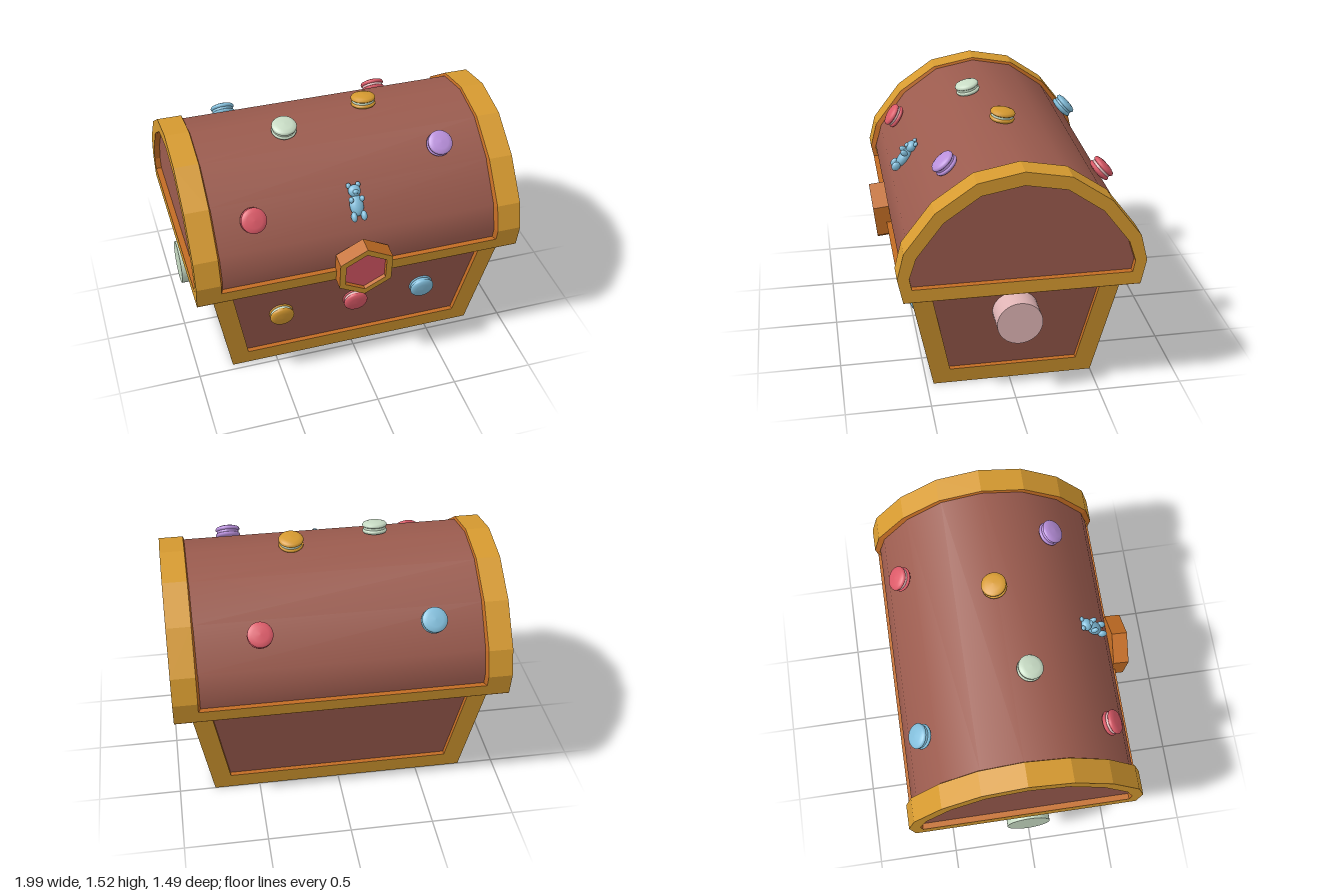
import * as THREE from 'three';

const mat = (name, color, open = false) => {
  const m = new THREE.MeshStandardMaterial({ color });
  m.name = name;
  if (open) m.side = THREE.DoubleSide;
  return m;
};
const V = (x, y, z) => new THREE.Vector3(x, y, z);

// Geometry from a list of triangles, flat shaded
function triMesh(name, tris, material) {
  const g = new THREE.BufferGeometry().setFromPoints(tris);
  g.computeVertexNormals();
  const m = new THREE.Mesh(g, material);
  m.name = name;
  return m;
}

// Band of quads between two closed loops
function band(name, a, b, material) {
  const tris = [];
  a.forEach((p, i) => {
    const j = (i + 1) % a.length;
    tris.push(p, a[j], b[j], p, b[j], b[i]);
  });
  return triMesh(name, tris, material);
}

// Convex polygon filled from its middle
function fill(name, loop, material) {
  const c = loop.reduce((s, p) => s.add(p), V(0, 0, 0)).divideScalar(loop.length);
  const tris = [];
  loop.forEach((p, i) => tris.push(c, p, loop[(i + 1) % loop.length]));
  return triMesh(name, tris, material);
}

export function createModel() {
  const gold = mat('gold', 0xd69a30, true);
  const orange = mat('orange trim', 0xc26c24, true);
  const brown = mat('chocolate', 0x9b5b4e, true);
  const red = mat('red', 0xdc5a68, true);
  const blue = mat('blue', 0x82bedb);
  const green = mat('pale green', 0xc8dcc5);
  const purple = mat('purple', 0xb990dc);
  const pink = mat('pink', 0xdfb4b5);

  const root = new THREE.Group();
  root.name = 'treasureChest';

  // Raised border, its inner walls and the recessed panel
  function frame(parent, name, outer, inner, inset, panelMat) {
    const deep = inner.map((p) => p.clone().add(inset));
    parent.add(band(name + 'Border', outer, inner, gold));
    parent.add(band(name + 'InnerEdge', inner, deep, orange));
    parent.add(fill(name + 'Panel', deep, panelMat));
  }

  // Tapered base
  const base = new THREE.Group();
  base.name = 'base';
  root.add(base);
  const H = 0.71, CZ = -0.02;
  const halfX = (y) => 0.78 + 0.12 * (y / H);
  const halfZ = (y) => 0.48 + 0.135 * (y / H);
  const corners = [[-1, 0], [1, 0], [1, 1], [-1, 1]];
  for (const s of [1, -1]) {
    const front = (y0, margin) => corners.map(([a, t]) => {
      const y = t ? H : y0;
      return V(a * (halfX(y) - margin), y, CZ + s * halfZ(y));
    });
    const side = (y0, margin) => corners.map(([a, t]) => {
      const y = t ? H : y0;
      return V(s * halfX(y), y, CZ + a * (halfZ(y) - margin));
    });
    frame(base, s > 0 ? 'front' : 'back', front(0, 0), front(0.105, 0.118), V(0, 0, -0.03 * s), brown);
    frame(base, s > 0 ? 'left' : 'right', side(0, 0), side(0.105, 0.118), V(-0.03 * s, 0, 0), brown);
  }
  base.add(fill('baseBottom', [[-1, -1], [1, -1], [1, 1], [-1, 1]].map(
    ([a, b]) => V(a * halfX(0), 0, CZ + b * halfZ(0))), gold));

  // Round side handles
  for (const s of [1, -1]) {
    const h = new THREE.Mesh(new THREE.CylinderGeometry(0.133, 0.133, 0.2, 40), s > 0 ? pink : green);
    h.name = s > 0 ? 'leftHandle' : 'rightHandle';
    h.rotation.z = Math.PI / 2;
    h.position.set(s * 0.897, 0.51, CZ);
    root.add(h);
  }

  // Lid profiles: half-width and height about z = LZ
  const lid = new THREE.Group();
  lid.name = 'lid';
  root.add(lid);
  const LZ = -0.037;
  const arch = (half) => [
    ...half.map(([z, y]) => [LZ + z, y]),
    ...half.slice(0, -1).reverse().map(([z, y]) => [LZ - z, y]),
  ];
  const outerArch = arch([[0.678, 0.71], [0.708, 0.86], [0.667, 1.02], [0.492, 1.25], [0.262, 1.41], [0, 1.46]]);
  const innerArch = arch([[0.628, 0.79], [0.641, 0.86], [0.6, 0.985], [0.445, 1.19], [0.24, 1.335], [0, 1.38]]);
  const at = (profile, x) => profile.map(([z, y]) => V(x, y, z));

  // Arched end caps
  for (const s of [1, -1]) {
    const cap = new THREE.Group();
    cap.name = s > 0 ? 'leftLidEnd' : 'rightLidEnd';
    lid.add(cap);
    const outside = at(outerArch, s * 0.997), inside = at(outerArch, s * 0.852);
    const lip = inside.map((p, i) => p.clone().lerp(V(s * 0.822, innerArch[i][1], innerArch[i][0]), 0.45));
    cap.add(band('lidEndRim', inside, outside, gold));
    cap.add(band('lidEndInnerLip', inside, lip, orange));
    frame(cap, 'lidEnd', outside, at(innerArch, s * 0.997), V(-0.035 * s, 0, 0), brown);
  }

  // Smooth barrel top
  const barrelPts = outerArch.map(([z, y]) => [LZ + (z - LZ) * 0.952, 0.79 + (y - 0.79) * 0.977]);
  const verts = [], index = [];
  barrelPts.forEach(([z, y], i) => {
    verts.push(V(-0.86, y, z), V(0.86, y, z));
    const k = 2 * i;
    if (i) index.push(k - 2, k - 1, k + 1, k - 2, k + 1, k);
  });
  const barrelGeo = new THREE.BufferGeometry().setFromPoints(verts);
  barrelGeo.setIndex(index);
  barrelGeo.computeVertexNormals();
  const barrel = new THREE.Mesh(barrelGeo, brown);
  barrel.name = 'lidBarrel';
  lid.add(barrel);

  // Front and back rails with ledge, and underside of the lid
  for (const s of [1, -1]) {
    const low = LZ + s * 0.678, high = LZ + s * 0.694, w = 0.855;
    lid.add(fill('lidRail', [V(-w, H, low), V(w, H, low), V(w, 0.79, high), V(-w, 0.79, high)], gold));
    lid.add(fill('lidLedge', [V(-w, 0.79, high), V(w, 0.79, high),
      V(w, 0.79, high - s * 0.08), V(-w, 0.79, high - s * 0.08)], orange));
  }
  lid.add(fill('lidUnderside', [[-1, -1], [1, -1], [1, 1], [-1, 1]].map(
    ([a, b]) => V(a * 0.996, H - 0.002, LZ + b * 0.677)), orange));

  // Hexagonal clasp, leaning with the rail
  const clasp = new THREE.Group();
  clasp.name = 'clasp';
  const hex = (r, z) => Array.from({ length: 6 }, (_, i) => {
    const a = (i * Math.PI) / 3;
    return V(r * Math.sin(a), r * Math.cos(a), z);
  });
  clasp.add(band('claspSide', hex(0.185, -0.096), hex(0.185, 0), orange));
  clasp.add(fill('claspBack', hex(0.185, -0.096), orange));
  frame(clasp, 'clasp', hex(0.185, 0), hex(0.143, 0), V(0, 0, -0.025), red);
  clasp.position.set(0, 0.795, 0.725);
  clasp.rotation.x = 0.108;
  root.add(clasp);

  // Macarons: two domed shells around a filling
  const shellGeo = new THREE.LatheGeometry([
    [0, 0.006], [0.066, 0.006], [0.074, 0.012], [0.075, 0.02], [0.068, 0.03], [0.045, 0.038], [0, 0.041],
  ].map(([r, y]) => new THREE.Vector2(r, y)), 28);
  const fillingGeo = new THREE.CylinderGeometry(0.067, 0.067, 0.016, 28);
  function macaron(shellMat, fillMat, pos, normal) {
    const g = new THREE.Group();
    g.name = 'macaron';
    const top = new THREE.Mesh(shellGeo, shellMat);
    const bottom = new THREE.Mesh(shellGeo, shellMat);
    const filling = new THREE.Mesh(fillingGeo, fillMat);
    top.name = 'upperShell';
    bottom.name = 'lowerShell';
    filling.name = 'filling';
    bottom.rotation.x = Math.PI;
    g.add(top, bottom, filling);
    g.position.set(...pos);
    g.quaternion.setFromUnitVectors(V(0, 1, 0), V(...normal).normalize());
    root.add(g);
  }
  const baseNormal = [0, -0.19, 1];
  macaron(gold, green, [-0.47, 0.41, 0.523], baseNormal);
  macaron(red, pink, [0, 0.41, 0.523], baseNormal);
  macaron(blue, blue, [0.435, 0.41, 0.523], baseNormal);
  macaron(green, green, [-0.31, 1.458, 0.08], [0, 1, 0.25]);
  macaron(gold, green, [0.22, 1.475, -0.05], [0, 1, -0.15]);
  macaron(purple, purple, [0.57, 1.348, 0.345], [0, 0.75, 0.65]);
  macaron(red, pink, [-0.615, 1.172, 0.525], [0, 0.55, 0.83]);
  macaron(red, pink, [0.47, 1.2, -0.6], [0, 0.68, -0.74]);
  macaron(blue, blue, [-0.54, 1.2, -0.6], [0, 0.68, -0.74]);

  // Little gummy bear lying on the lid
  const bear = new THREE.Group();
  bear.name = 'gummyBear';
  const ball = new THREE.SphereGeometry(1, 18, 12);
  const blob = (name, pos, scale) => {
    const m = new THREE.Mesh(ball, blue);
    m.name = name;
    m.position.set(...pos);
    m.scale.set(...scale);
    bear.add(m);
  };
  blob('body', [0, -0.02, 0], [0.042, 0.065, 0.032]);
  blob('head', [0, 0.065, 0.005], [0.038, 0.036, 0.03]);
  blob('muzzle', [0, 0.058, 0.032], [0.017, 0.014, 0.014]);
  for (const s of [1, -1]) {
    blob('ear', [s * 0.029, 0.099, 0], [0.015, 0.016, 0.012]);
    blob('arm', [s * 0.033, 0.014, 0.025], [0.014, 0.018, 0.024]);
    blob('leg', [s * 0.03, -0.086, 0.014], [0.018, 0.03, 0.026]);
  }
  bear.position.set(0, 1.16, 0.512);
  bear.rotation.x = -0.66;
  root.add(bear);

  return root;
}
